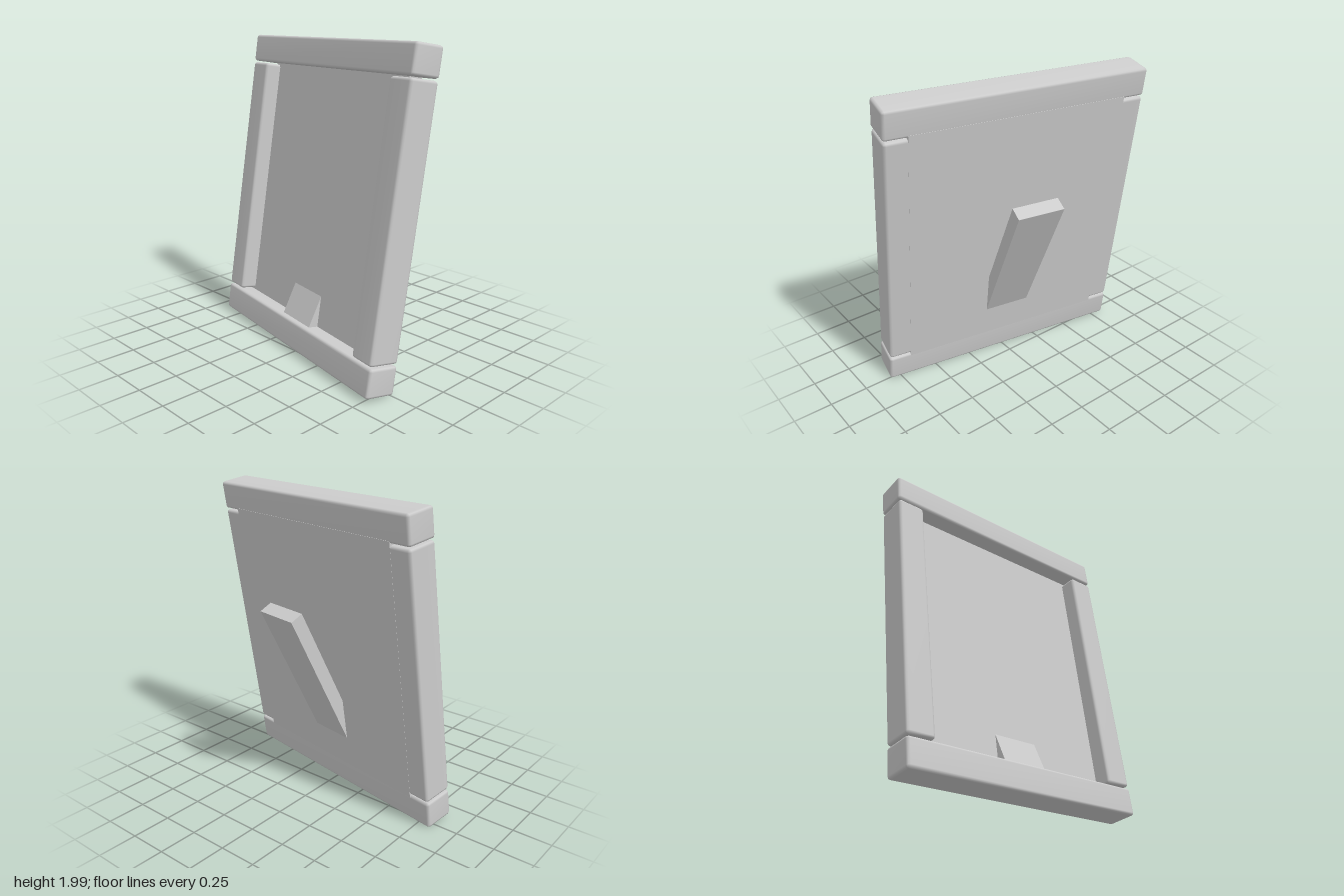
import * as THREE from 'three';
import { mergeVertices } from 'three/addons/utils/BufferGeometryUtils.js';
import { RoundedBoxGeometry } from 'three/addons/geometries/RoundedBoxGeometry.js';

const LENGTH = 1.69, HEIGHT = 1.99, DEPTH = 0.2, BAR = 0.18, GAP = 0.01;

// Box with a narrow bevel and normals smoothed across it
function bevelledBox(w, h, d) {
  const g = new RoundedBoxGeometry(w, h, d, 1, 0.018);
  g.deleteAttribute('normal');
  g.deleteAttribute('uv');
  const merged = mergeVertices(g, 1e-4);
  merged.computeVertexNormals();
  return merged;
}

export function createModel() {
  const model = new THREE.Group();
  model.name = 'pictureFrame';
  const grey = new THREE.MeshStandardMaterial({ color: 0xcccccc });
  grey.name = 'light grey';

  // The whole frame leans back and is turned slightly
  const frame = new THREE.Group();
  frame.name = 'leaningFrame';
  frame.rotation.set(-0.15, THREE.MathUtils.degToRad(-10), 0, 'YXZ');
  frame.position.set(0, 1, 0.04);
  model.add(frame);

  const add = (name, geometry, x, y, z) => {
    const mesh = new THREE.Mesh(geometry, grey);
    mesh.name = name;
    mesh.position.set(x, y, z);
    frame.add(mesh);
    return mesh;
  };

  // Top and bottom rails
  const rail = bevelledBox(LENGTH, BAR, DEPTH);
  const railY = (HEIGHT - BAR) / 2;
  add('topRail', rail, 0, railY, 0);
  add('bottomRail', rail, 0, -railY, 0);

  // Side posts, with a small gap at each end
  const post = bevelledBox(BAR, HEIGHT - 2 * (BAR + GAP), DEPTH);
  const postX = (LENGTH - BAR) / 2 - 0.003;
  add('leftPost', post, postX, 0, 0);
  add('rightPost', post, -postX, 0, 0);

  // Panel, flush with the back of the bars
  add('panel', new THREE.BoxGeometry(1.4, 1.66, 0.092), 0, 0, -0.055);

  // Slanted strut running through the panel
  const strut = add('strut', new THREE.BoxGeometry(0.305, 1.28, 0.088), 0, -0.258, -0.171);
  strut.rotation.x = THREE.MathUtils.degToRad(-18);

  return model;
}
